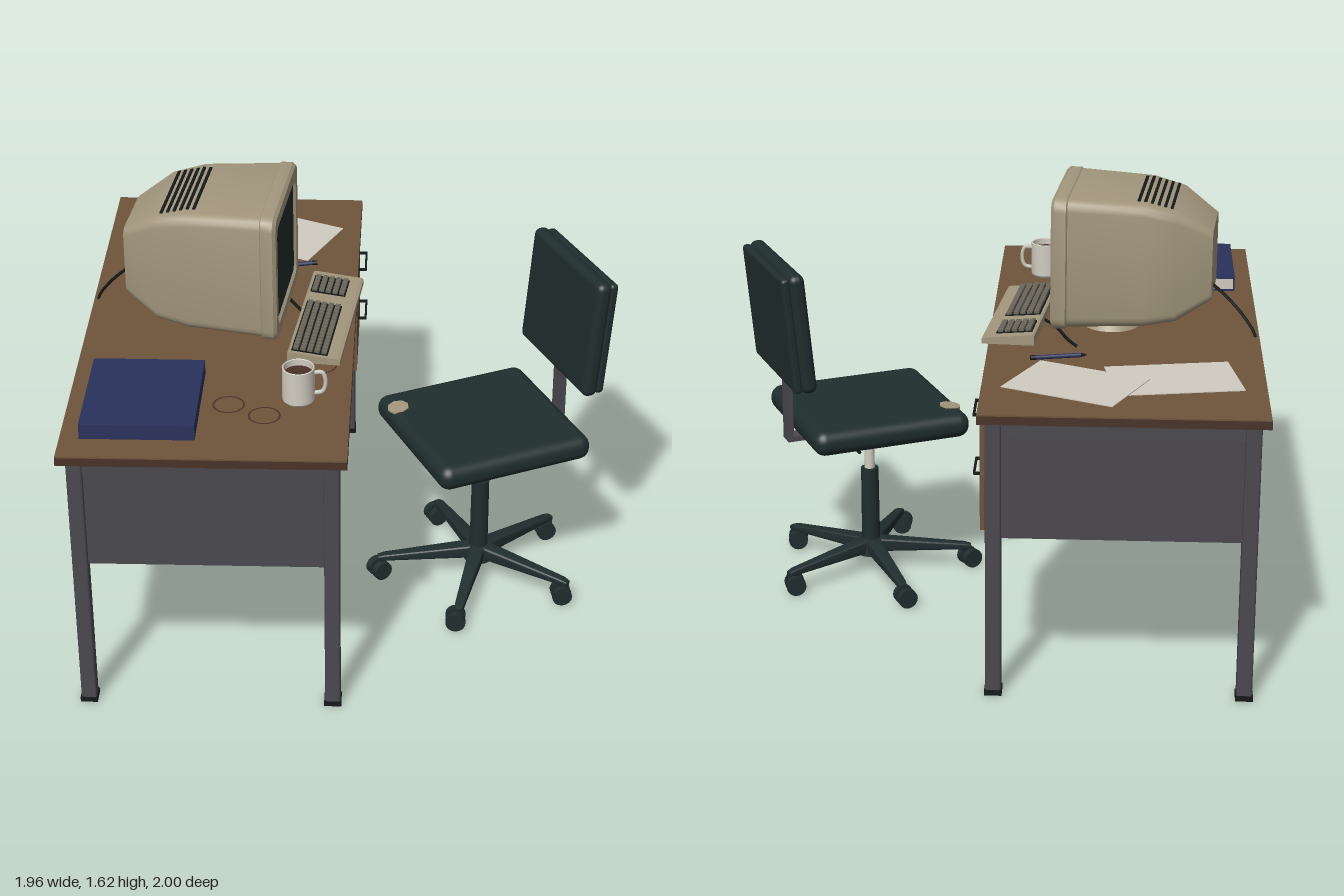
import * as THREE from 'three';
import { mergeGeometries, toCreasedNormals } from 'three/addons/utils/BufferGeometryUtils.js';
import { RoundedBoxGeometry } from 'three/addons/geometries/RoundedBoxGeometry.js';

const mat = (name, color, side = THREE.FrontSide) => {
  const m = new THREE.MeshStandardMaterial({ color, side });
  m.name = name;
  return m;
};
const wood = mat('wood', 0x6e543b);
const darkWood = mat('darkBrown', 0x4a3228, THREE.DoubleSide);
const steel = mat('greySteel', 0x4b494e);
const green = mat('darkGreen', 0x1f2e2d);
const beige = mat('beigePlastic', 0xa3977d);
const white = mat('offWhite', 0xd0ccc0, THREE.DoubleSide);
const blue = mat('navyBlue', 0x2a325c);
const black = mat('black', 0x14191a);
const keyGrey = mat('keyGrey', 0x6d685b);

function add(parent, name, geo, material, x = 0, y = 0, z = 0) {
  const m = new THREE.Mesh(geo, material);
  m.name = name;
  m.position.set(x, y, z);
  parent.add(m);
  return m;
}
const box = (w, h, d) => new THREE.BoxGeometry(w, h, d);
const cyl = (r1, r2, h, n = 20) => new THREE.CylinderGeometry(r1, r2, h, n);
// Box given by its limits
const span = (parent, name, material, x0, x1, y0, y1, z0, z1) =>
  add(parent, name, box(x1 - x0, y1 - y0, z1 - z0), material, (x0 + x1) / 2, (y0 + y1) / 2, (z0 + z1) / 2);
function group(parent, name, x = 0, y = 0, z = 0, turn = 0) {
  const g = new THREE.Group();
  g.name = name;
  g.position.set(x, y, z);
  g.rotation.y = turn;
  parent.add(g);
  return g;
}
const tube = (pts, r, n = 40) =>
  new THREE.TubeGeometry(new THREE.CatmullRomCurve3(pts.map(p => new THREE.Vector3(...p))), n, r, 6);

// Loft of rounded rectangles along x; each station is [x, yLow, yHigh, halfWidth, radius]
function loft(stations, crease = 0.5) {
  const pos = [], idx = [], seg = 4, n = 4 * (seg + 1);
  for (const [x, y0, y1, w, r] of stations)
    for (let k = 0; k < 4; k++)
      for (let s = 0; s <= seg; s++) {
        const t = (k + s / seg) * Math.PI / 2;
        const sy = k === 0 || k === 3 ? 1 : -1, sz = k < 2 ? 1 : -1;
        pos.push(x, (y0 + y1) / 2 + sy * ((y1 - y0) / 2 - r) + r * Math.cos(t), sz * (w - r) + r * Math.sin(t));
      }
  const last = stations.length - 1;
  for (let i = 0; i < last; i++)
    for (let j = 0; j < n; j++) {
      const a = i * n + j, b = i * n + (j + 1) % n;
      idx.push(a, b, b + n, a, b + n, a + n);
    }
  for (const i of [0, last]) {
    const c = pos.length / 3, [x, y0, y1] = stations[i];
    pos.push(x, (y0 + y1) / 2, 0);
    for (let j = 0; j < n; j++) {
      const a = i * n + j, b = i * n + (j + 1) % n;
      if (i) idx.push(c, a, b); else idx.push(c, b, a);
    }
  }
  const g = new THREE.BufferGeometry();
  g.setAttribute('position', new THREE.Float32BufferAttribute(pos, 3));
  g.setIndex(idx);
  return toCreasedNormals(g, crease);
}

function buildDesk(root) {
  const desk = group(root, 'desk');
  span(desk, 'deskTopCore', darkWood, -0.98, 0.02, 1.038, 1.068, -1, 1);
  span(desk, 'deskTopSurface', wood, -0.979, 0.019, 1.068, 1.073, -0.999, 0.999);
  for (const x of [-0.922, -0.035])
    for (const z of [-0.94, 0.94]) {
      add(desk, 'deskLeg', new RoundedBoxGeometry(0.056, 1.03, 0.056, 2, 0.008), steel, x, 0.523, z);
      add(desk, 'legFoot', box(0.062, 0.02, 0.062), black, x, 0.01, z);
    }
  for (const s of [-1, 1]) {
    add(desk, 'sidePanel', box(0.84, 0.4, 0.02), steel, -0.478, 0.8, s * 0.94);
    add(desk, 'sideRail', box(0.84, 0.06, 0.04), steel, -0.478, 1.008, s * 0.94);
  }
  span(desk, 'backPanel', steel, -0.932, -0.912, 0.52, 0.98, -0.92, 0.92);
  span(desk, 'backRail', steel, -0.942, -0.902, 0.97, 1.038, -0.92, 0.92);
  span(desk, 'frontRail', steel, -0.055, -0.015, 0.97, 1.038, -0.92, 0.92);
  // Drawer unit
  span(desk, 'drawerCabinet', steel, -0.88, -0.012, 0.605, 1.038, -0.905, -0.405);
  for (const [y0, y1] of [[0.605, 0.812], [0.826, 1.03]]) {
    span(desk, 'drawerFront', wood, -0.012, 0.014, y0, y1, -0.895, -0.412);
    const y = y0 + 0.145;
    add(desk, 'drawerHandle', box(0.008, 0.01, 0.15), black, 0.044, y, -0.655);
    for (const z of [-0.726, -0.584]) add(desk, 'handlePost', box(0.034, 0.01, 0.008), black, 0.029, y, z);
  }
  add(desk, 'drawerLock', cyl(0.01, 0.01, 0.006, 12), keyGrey, 0.016, 0.99, -0.845).rotation.z = Math.PI / 2;
}

function buildMonitor(root) {
  const g = group(root, 'monitor', -0.232, 0, 0.02, -0.1);
  add(g, 'monitorShell', loft([
    [-0.58, 1.225, 1.49, 0.15, 0.03], [-0.455, 1.155, 1.572, 0.215, 0.04], [-0.335, 1.138, 1.6, 0.24, 0.04],
    [-0.06, 1.128, 1.612, 0.258, 0.04], [-0.055, 1.12, 1.616, 0.266, 0.045], [-0.012, 1.12, 1.616, 0.268, 0.045],
    [0, 1.13, 1.606, 0.258, 0.04], [0, 1.17, 1.562, 0.222, 0.035], [-0.014, 1.18, 1.552, 0.212, 0.03],
  ]), beige);
  add(g, 'screen', loft([
    [-0.016, 1.176, 1.556, 0.216, 0.03], [-0.01, 1.176, 1.556, 0.216, 0.03], [-0.003, 1.23, 1.5, 0.15, 0.03],
  ]), green);
  // Cooling slots follow the slope of the case
  for (let i = 0; i < 6; i++) {
    const x = -0.43 + i * 0.024;
    const y = x < -0.335 ? 1.6 + (x + 0.335) * 0.233 : 1.6 + (x + 0.335) * 0.044;
    add(g, 'coolingSlot', box(0.011, 0.006, 0.35), black, x, y + 0.001, 0).rotation.z = x < -0.335 ? 0.23 : 0.04;
  }
  add(g, 'standNeck', cyl(0.12, 0.08, 0.04, 28), beige, -0.2, 1.118, 0);
  add(g, 'standBase', cyl(0.09, 0.105, 0.025, 28), beige, -0.2, 1.086, 0);
  add(root, 'monitorCable', tube([[-0.79, 1.27, -0.08], [-0.85, 1.22, -0.09], [-0.925, 1.14, -0.115], [-0.965, 1.07, -0.13],
    [-0.962, 0.9, -0.14], [-0.972, 0.45, -0.165], [-0.965, 0.2, -0.18], [-0.955, 0.01, -0.19]], 0.006, 60), black);
}

function buildKeyboard(root) {
  const g = group(root, 'keyboard', -0.088, 1.073, 0.035, -0.11);
  const side = new THREE.Shape([[-0.097, 0.006], [0.097, 0.004], [0.097, 0.024], [0.085, 0.028], [-0.09, 0.046], [-0.097, 0.042]]
    .map(p => new THREE.Vector2(...p)));
  const body = new THREE.ExtrudeGeometry(side, { depth: 0.635, bevelEnabled: false });
  body.translate(0, 0, -0.3175);
  add(g, 'keyboardBody', body, beige);
  const bed = group(g, 'keyBed', 0, 0.037, 0);
  bed.rotation.z = -0.103;
  const keys = [];
  for (const [z0, cols] of [[-0.275, 5], [-0.07, 15]]) {
    add(bed, 'keyRecess', box(0.134, 0.004, cols * 0.0247 + 0.004), black, -0.018, 0.001, z0 + cols * 0.01235);
    for (let r = 0; r < 5; r++)
      for (let c = 0; c < cols; c++) {
        if (r === 4 && c > 4 && c < 10) continue;
        keys.push(box(0.019, 0.014, 0.018).translate(-0.07 + r * 0.026, 0.006, z0 + (c + 0.5) * 0.0247));
      }
  }
  keys.push(box(0.019, 0.014, 0.118).translate(0.034, 0.006, -0.07 + 7.5 * 0.0247));
  add(bed, 'keys', mergeGeometries(keys), keyGrey);
  add(root, 'keyboardCable', tube([[-0.31, 1.08, -0.3], [-0.27, 1.08, -0.21], [-0.225, 1.09, -0.1], [-0.17, 1.09, 0]], 0.006), black);
}

function buildDeskItems(root) {
  // Binder with page block showing on one side
  const binder = group(root, 'binder');
  span(binder, 'binderBottom', blue, -0.91, -0.51, 1.073, 1.08, 0.425, 0.88);
  span(binder, 'binderTop', blue, -0.91, -0.51, 1.122, 1.13, 0.425, 0.88);
  span(binder, 'binderSpine', blue, -0.91, -0.51, 1.08, 1.122, 0.865, 0.88);
  for (const x of [-0.91, -0.516]) span(binder, 'binderSide', blue, x, x + 0.006, 1.08, 1.122, 0.425, 0.865);
  span(binder, 'pages', white, -0.904, -0.516, 1.08, 1.122, 0.428, 0.865);
  // Mug with coffee
  const mug = group(root, 'mug', -0.165, 1.073, 0.6);
  const wall = [[0, 0.002], [0.052, 0.002], [0.058, 0.01], [0.058, 0.136], [0.055, 0.138], [0.052, 0.136], [0.052, 0.01], [0, 0.01]];
  add(mug, 'mugBody', toCreasedNormals(new THREE.LatheGeometry(wall.map(p => new THREE.Vector2(...p)), 28), 0.6), white);
  add(mug, 'coffee', new THREE.CircleGeometry(0.0525, 28), darkWood, 0, 0.112, 0).rotation.x = -Math.PI / 2;
  add(mug, 'mugHandle', tube([[0.054, 0.115, 0], [0.085, 0.115, 0], [0.096, 0.075, 0], [0.085, 0.04, 0], [0.054, 0.032, 0]], 0.008, 20), white);
  // Ring stains
  for (const [x, z] of [[-0.41, 0.64], [-0.28, 0.71], [-0.095, 0.355]])
    add(root, 'ringStain', new THREE.RingGeometry(0.051, 0.058, 32), darkWood, x, 1.0745, z).rotation.x = -Math.PI / 2;
  // Loose sheets and pen
  add(root, 'paperSheet', box(0.45, 0.003, 0.3), white, -0.655, 1.075, -0.607).rotation.y = 0.17;
  add(root, 'paperSheet', box(0.43, 0.003, 0.31), white, -0.31, 1.078, -0.68).rotation.y = -0.432;
  const pen = group(root, 'pen', -0.24, 1.081, -0.408, 0.22);
  add(pen, 'penBarrel', cyl(0.008, 0.008, 0.17, 10), blue).rotation.z = Math.PI / 2;
  add(pen, 'penTip', cyl(0.008, 0.002, 0.02, 10), black, -0.095).rotation.z = -Math.PI / 2;
  add(pen, 'penCap', cyl(0.009, 0.009, 0.02, 10), black, 0.09).rotation.z = Math.PI / 2;
}

function buildChair(root) {
  const chair = group(root, 'chair', 0.505, 0, 0.1, 0.436);
  add(chair, 'seat', new RoundedBoxGeometry(0.62, 0.098, 0.62, 5, 0.045), green, 0, 0.667, 0);
  const patch = add(chair, 'wornPatch', cyl(0.042, 0.042, 0.008, 8), beige, -0.268, 0.713, -0.185);
  patch.rotation.z = 0.12;
  // Backrest, tilted away from the seat
  const back = group(chair, 'backrest', 0.345, 1.095, 0);
  back.rotation.z = -0.09;
  add(back, 'backCushion', new RoundedBoxGeometry(0.06, 0.465, 0.53, 4, 0.026), green, -0.012, 0, 0);
  add(back, 'backShell', new RoundedBoxGeometry(0.034, 0.45, 0.51, 3, 0.014), green, 0.03, 0, 0);
  add(chair, 'backSupport', box(0.022, 0.33, 0.065), steel, 0.325, 0.76, 0);
  add(chair, 'supportArm', box(0.26, 0.02, 0.065), steel, 0.206, 0.604, 0);
  add(chair, 'seatMechanism', box(0.28, 0.036, 0.22), steel, 0, 0.602, 0);
  add(chair, 'heightLever', cyl(0.007, 0.007, 0.16, 8), black, 0.12, 0.597, -0.16).rotation.x = Math.PI / 2;
  // Gas lift
  add(chair, 'gasPiston', cyl(0.02, 0.02, 0.17), white, 0, 0.505, 0);
  add(chair, 'liftColumn', cyl(0.034, 0.036, 0.36), green, 0, 0.25, 0);
  add(chair, 'hub', cyl(0.05, 0.058, 0.06), green, 0, 0.1, 0);
  // Five spokes with twin-wheel casters
  for (let k = 0; k < 5; k++) {
    const turn = -(174 + 72 * k) * Math.PI / 180 - 0.436;
    const spoke = group(chair, 'spoke', 0, 0, 0, turn);
    add(spoke, 'spokeArm', loft([[0.02, 0.08, 0.135, 0.03, 0.008], [0.37, 0.075, 0.1, 0.018, 0.006], [0.395, 0.077, 0.093, 0.014, 0.005]]), green);
    const caster = group(spoke, 'caster', 0.38, 0, 0, 0.5 + k * 1.1);
    add(caster, 'casterFork', box(0.034, 0.05, 0.02), green, 0, 0.056, 0);
    for (const s of [-1, 1])
      add(caster, 'casterWheel', cyl(0.038, 0.038, 0.024, 16), green, 0.012, 0.038, s * 0.022).rotation.x = Math.PI / 2;
  }
}

export function createModel() {
  const root = new THREE.Group();
  root.name = 'officeDeskSet';
  buildDesk(root);
  buildMonitor(root);
  buildKeyboard(root);
  buildDeskItems(root);
  buildChair(root);
  return root;
}
